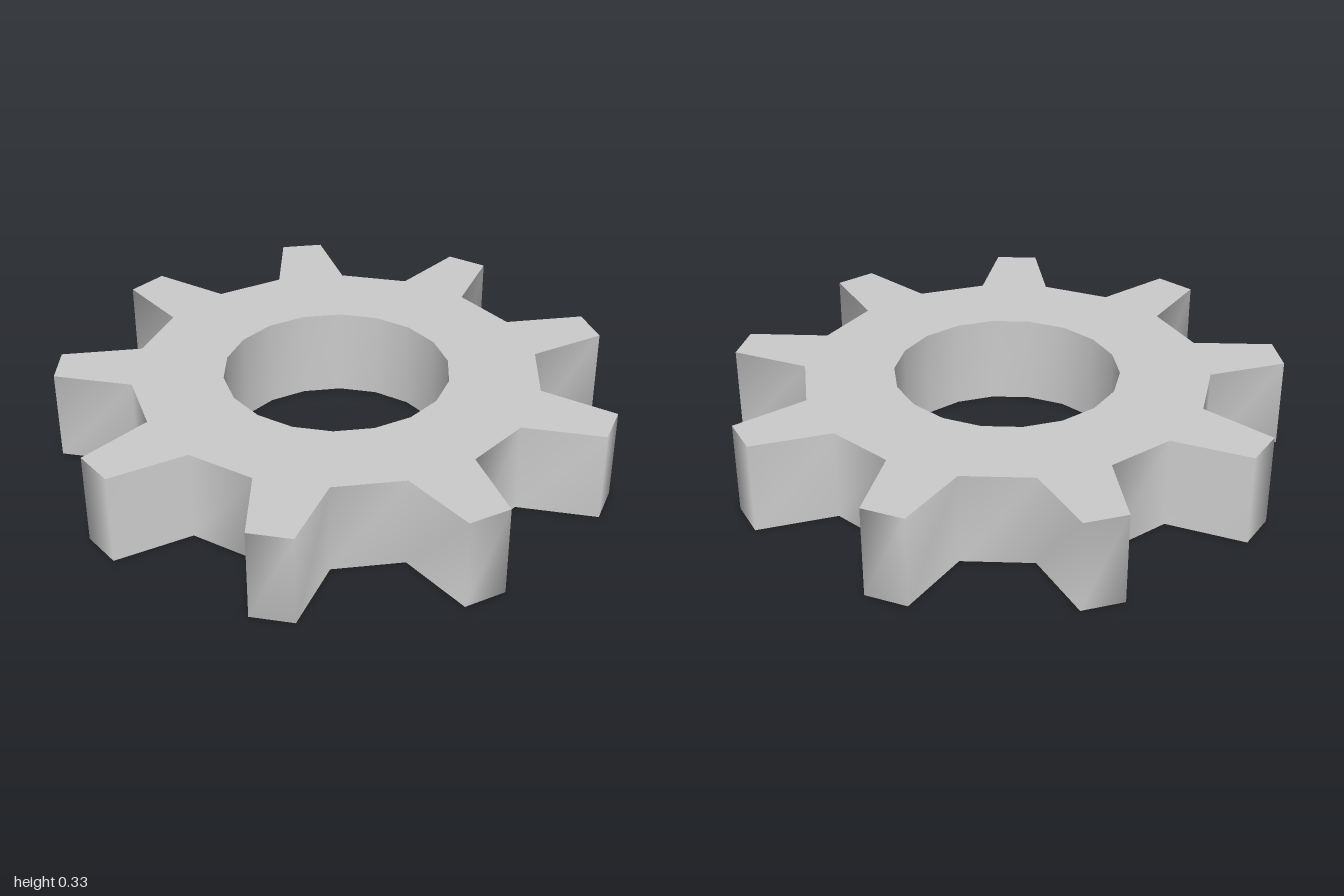
import * as THREE from 'three';

const TEETH = 9;
const HEIGHT = 0.33;
const TIP_R = 1.005, ROOT_R = 0.728, BORE_R = 0.405;
const TIP_HALF = 4.4, ROOT_HALF = 10; // half angles of a tooth, in degrees
const CENTRE_X = -0.017; // centres the bounding box of the odd-toothed outline

function polar(radius, degrees) {
  const a = THREE.MathUtils.degToRad(degrees);
  return new THREE.Vector2(CENTRE_X + radius * Math.cos(a), radius * Math.sin(a));
}

// Closed vertical wall with normals shared around the loop; counter-clockwise faces outward
function wallGeometry(points) {
  const positions = [], index = [], n = points.length;
  points.forEach((p, i) => {
    positions.push(p.x, 0, -p.y, p.x, HEIGHT, -p.y);
    const a = 2 * i, b = 2 * ((i + 1) % n);
    index.push(a, b, b + 1, a, b + 1, a + 1);
  });
  const geometry = new THREE.BufferGeometry();
  geometry.setAttribute('position', new THREE.Float32BufferAttribute(positions, 3));
  geometry.setIndex(index);
  geometry.computeVertexNormals();
  return geometry;
}

export function createModel() {
  const gear = new THREE.Group();
  gear.name = 'gear';
  const material = new THREE.MeshStandardMaterial({ color: 0xcccccc });
  const add = (name, geometry) => {
    const mesh = new THREE.Mesh(geometry, material);
    mesh.name = name;
    gear.add(mesh);
  };

  // Tapered teeth around the rim, and an 18-sided bore
  const outline = [], bore = [];
  for (let i = 0; i < TEETH; i++) {
    const mid = (i * 360) / TEETH;
    outline.push(
      polar(ROOT_R, mid - ROOT_HALF), polar(TIP_R, mid - TIP_HALF),
      polar(TIP_R, mid + TIP_HALF), polar(ROOT_R, mid + ROOT_HALF)
    );
    bore.push(polar(BORE_R, mid - ROOT_HALF), polar(BORE_R, mid + ROOT_HALF));
  }
  bore.reverse();

  // Flat faces
  const shape = new THREE.Shape(outline);
  shape.holes.push(new THREE.Path(bore));
  add('topFace', new THREE.ShapeGeometry(shape).rotateX(-Math.PI / 2).translate(0, HEIGHT, 0));
  add('bottomFace', new THREE.ShapeGeometry(shape).rotateX(Math.PI / 2));

  // Smooth side walls
  add('toothedRim', wallGeometry(outline));
  add('boreWall', wallGeometry(bore));

  return gear;
}
